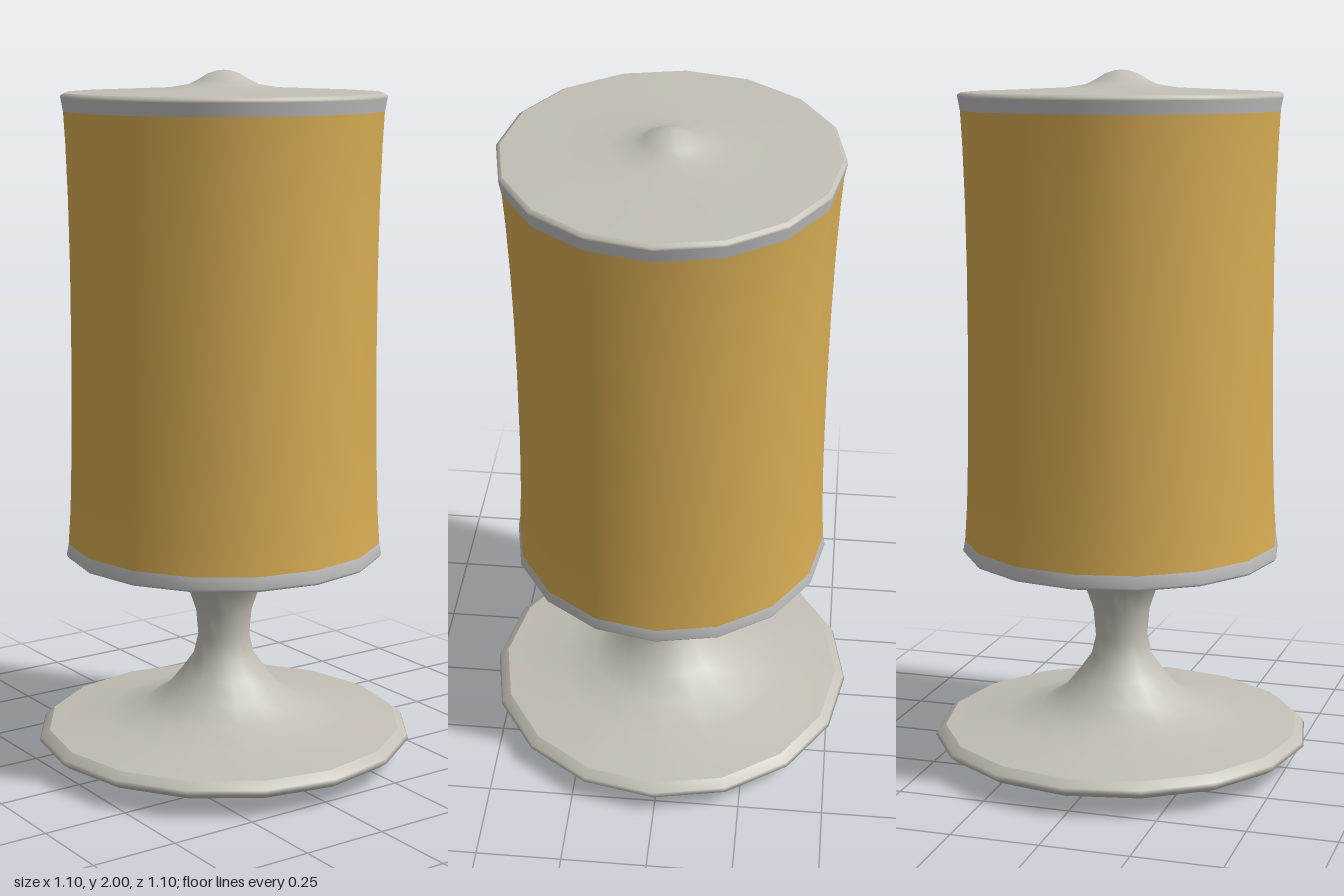
import * as THREE from 'three';

const SIDES = 16;

export function createModel() {
  const group = new THREE.Group();
  const paint = (name, color) => {
    const m = new THREE.MeshStandardMaterial({ color });
    m.name = name;
    return m;
  };
  const metal = paint('warm grey metal', 0xc3bfb5);
  const silver = paint('silver rim', 0xc2c2c2);
  const amber = paint('amber body', 0xd8ad54);

  // Turned part: profile of [radius, height] from bottom to top
  const turn = (name, material, profile) => {
    const points = profile.map(([r, y]) => new THREE.Vector2(r, y));
    const mesh = new THREE.Mesh(new THREE.LatheGeometry(points, SIDES), material);
    mesh.name = name;
    group.add(mesh);
  };

  // Foot: shallow underside, rounded edge, then the flared stem
  turn('footUnderside', metal, [[0, 0], [0.25, 0.008], [0.42, 0.025], [0.53, 0.055]]);
  turn('footEdge', metal, [[0.53, 0.055], [0.55, 0.07], [0.545, 0.082], [0.52, 0.1]]);
  turn('stem', metal, [
    [0.52, 0.1], [0.35, 0.122], [0.24, 0.15], [0.17, 0.195], [0.125, 0.25], [0.09, 0.3],
    [0.076, 0.36], [0.083, 0.44], [0.11, 0.52], [0.16, 0.565], [0.24, 0.595], [0.36, 0.61], [0.455, 0.616],
  ]);

  // Body between two thin rims
  turn('lowerRim', silver, [[0.455, 0.616], [0.462, 0.625], [0.456, 0.658]]);
  turn('body', amber, [
    [0.456, 0.658], [0.449, 0.76], [0.443, 0.95], [0.44, 1.2],
    [0.44, 1.45], [0.443, 1.65], [0.448, 1.8], [0.453, 1.888],
  ]);
  turn('upperRim', silver, [[0.453, 1.888], [0.46, 1.925]]);

  // Lid with a small knob
  turn('lidEdge', metal, [[0.46, 1.925], [0.46, 1.932], [0.45, 1.938]]);
  turn('lid', metal, [
    [0.45, 1.938], [0.3, 1.944], [0.16, 1.95], [0.1, 1.96], [0.07, 1.975], [0.045, 1.99], [0.02, 1.998], [0, 2],
  ]);

  return group;
}
